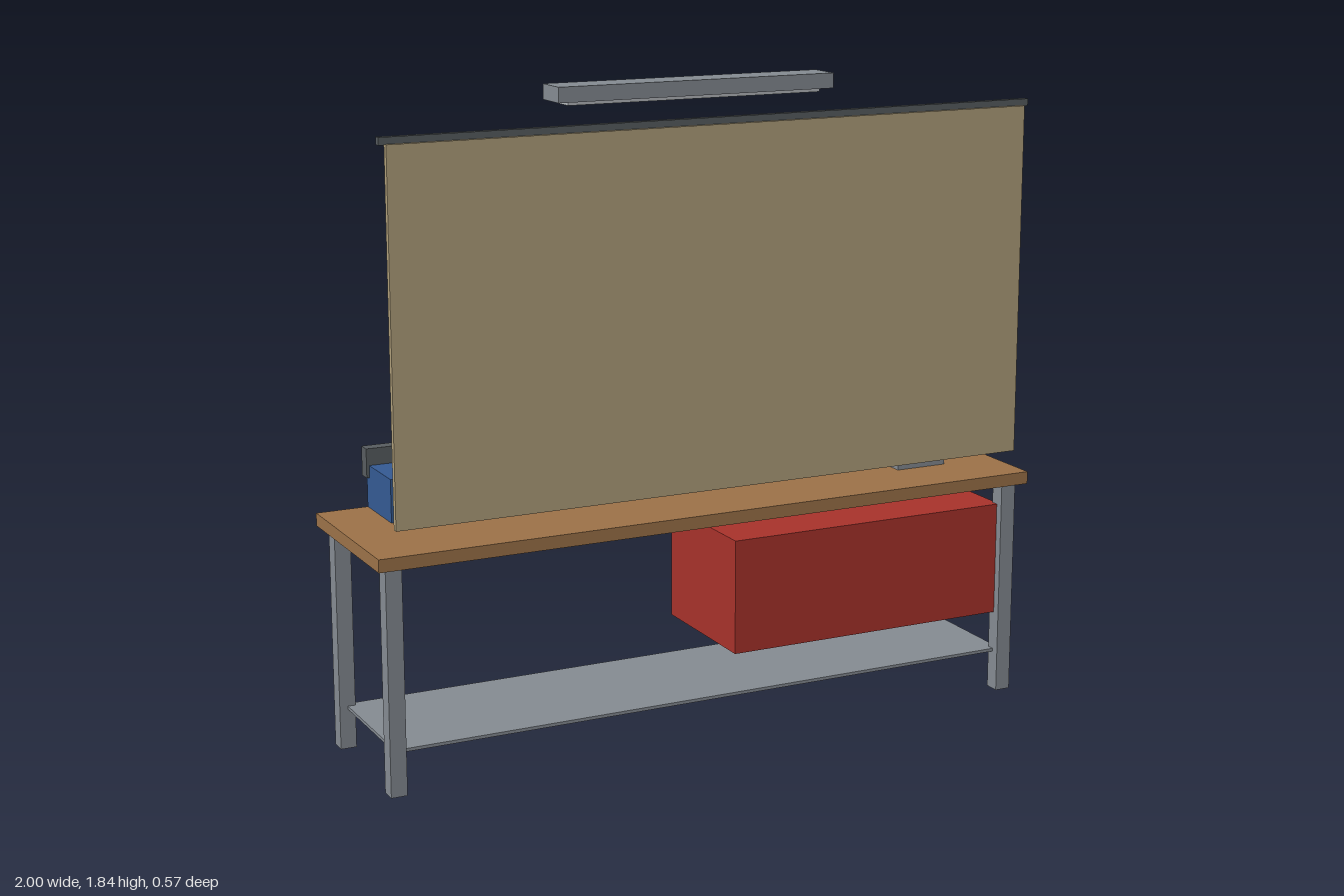
import * as THREE from 'three';

const mat = (name, color) => {
  const m = new THREE.MeshStandardMaterial({ color });
  m.name = name;
  return m;
};

export function createModel() {
  const model = new THREE.Group();
  model.name = 'workbench';
  const wood = mat('bench wood', 0x9c7248);
  const board = mat('pegboard tan', 0xb09f7b);
  const steel = mat('steel grey', 0x858b92);
  const dark = mat('dark iron', 0x585d60);
  const light = mat('bright steel', 0xb4b8bc);
  const red = mat('red', 0xa8322b);
  const blue = mat('vise blue', 0x345a93);
  const yellow = mat('yellow', 0xc29a1e);

  const add = (name, geometry, material, x, y, z, parent = model) => {
    const mesh = new THREE.Mesh(geometry, material);
    mesh.name = name;
    mesh.position.set(x, y, z);
    parent.add(mesh);
    return mesh;
  };
  // box given by its limits on each axis
  const box = (name, material, [x0, x1], [y0, y1], [z0, z1], parent = model) =>
    add(name, new THREE.BoxGeometry(x1 - x0, y1 - y0, z1 - z0), material,
      (x0 + x1) / 2, (y0 + y1) / 2, (z0 + z1) / 2, parent);
  const group = (name, x = 0, y = 0, z = 0) => {
    const g = new THREE.Group();
    g.name = name;
    g.position.set(x, y, z);
    model.add(g);
    return g;
  };

  // Bench
  box('benchTop', wood, [-1, 1], [0.632, 0.668], [-0.215, 0.283]);
  for (const x of [-0.951, 0.951])
    for (const z of [-0.166, 0.236])
      add('leg', new THREE.BoxGeometry(0.046, 0.632, 0.046), steel, x, 0.316, z);
  box('lowerShelf', steel, [-0.95, 0.95], [0.114, 0.123], [-0.165, 0.235]);
  box('drawerCabinet', red, [0.064, 0.936], [0.237, 0.567], [-0.166, 0.236]);

  // Tool board with its top rail
  box('toolBoard', board, [-0.95, 0.95], [0.737, 1.737], [0.267, 0.283]);
  box('boardRail', dark, [-0.967, 0.967], [1.735, 1.755], [0.254, 0.273]);

  // Overhead lamp
  box('lampHousing', steel, [-0.415, 0.415], [1.798, 1.84], [0.034, 0.136]);
  box('lampDiffuser', light, [-0.38, 0.38], [1.788, 1.798], [0.05, 0.118]);

  // Vise
  const vise = group('vise');
  box('viseBody', blue, [-0.85, -0.688], [0.668, 0.79], [-0.215, -0.027], vise);
  box('viseJaw', dark, [-0.858, -0.676], [0.755, 0.838], [-0.232, -0.194], vise);
  add('viseScrew', new THREE.CylinderGeometry(0.0125, 0.0125, 0.25, 16), light,
    -0.767, 0.798, -0.162, vise).rotation.x = Math.PI / 2;

  // Bench grinder
  const grinder = group('grinder', 0.75, 0, 0.034);
  box('grinderBody', steel, [-0.079, 0.079], [0.668, 0.8], [-0.066, 0.066], grinder);
  for (const s of [-1, 1])
    add('grindingWheel', new THREE.CylinderGeometry(0.069, 0.069, 0.076, 28), dark,
      s * 0.121, 0.795, 0, grinder).rotation.z = Math.PI / 2;

  // Pliers: two handles meeting at narrow jaws
  for (const x of [0.6, 0.7, 0.8]) {
    const pliers = group('pliers', x, 1.48, 0.255);
    for (const s of [-1, 1]) {
      add('pliersHandle', new THREE.BoxGeometry(0.016, 0.13, 0.012), red,
        s * 0.014, -0.01, 0, pliers).rotation.z = s * 0.24;
      add('pliersJaw', new THREE.BoxGeometry(0.012, 0.045, 0.012), red,
        s * 0.005, 0.055, 0, pliers).rotation.z = s * 0.1;
    }
  }

  // Hammers
  for (const x of [0.447, 0.268]) {
    const hammer = group('hammer', x, 0, 0.25);
    add('hammerHandle', new THREE.CylinderGeometry(0.011, 0.011, 0.22, 10), dark,
      0, 1.415, 0, hammer);
    add('hammerHead', new THREE.BoxGeometry(0.1, 0.036, 0.032), steel, 0, 1.537, 0, hammer);
  }

  // Screwdrivers, alternating handle colours
  for (let i = 0; i < 6; i++) {
    const driver = group('screwdriver', i * 0.07, 0, 0.249);
    add('screwdriverHandle', new THREE.CylinderGeometry(0.018, 0.016, 0.1, 8),
      i % 2 ? yellow : red, 0, 1.571, 0, driver);
    add('screwdriverShaft', new THREE.CylinderGeometry(0.007, 0.007, 0.155, 8), dark,
      0, 1.445, 0, driver);
  }

  // Wrenches: open jaw on top, ring below, shrinking along the row
  const extrude = { depth: 0.011, bevelEnabled: false, curveSegments: 10 };
  const jaw = new THREE.Shape();
  jaw.moveTo(0.009, 0.02);
  jaw.lineTo(0.009, 0);
  jaw.lineTo(-0.009, 0);
  jaw.lineTo(-0.009, 0.02);
  jaw.absarc(0, 0, 0.022, Math.PI * 0.635, Math.PI * 2.365, false);
  const ring = new THREE.Shape().absarc(0, 0, 0.015, 0, Math.PI * 2, false);
  ring.holes.push(new THREE.Path().absarc(0, 0, 0.007, 0, Math.PI * 2, true));
  const jawGeometry = new THREE.ExtrudeGeometry(jaw, extrude);
  const ringGeometry = new THREE.ExtrudeGeometry(ring, extrude);
  for (let i = 0; i < 8; i++) {
    const wrench = group('wrench', -0.25 - i * 0.084, 1.6, 0.25);
    const length = 0.285 - i * 0.018;
    add('wrenchJaw', jawGeometry, light, 0, 0, -0.0055, wrench);
    add('wrenchShaft', new THREE.BoxGeometry(0.017, length - 0.025, 0.009), light,
      0, -length / 2 - 0.002, 0, wrench);
    add('wrenchRing', ringGeometry, light, 0, -length, -0.0055, wrench);
  }

  return model;
}
